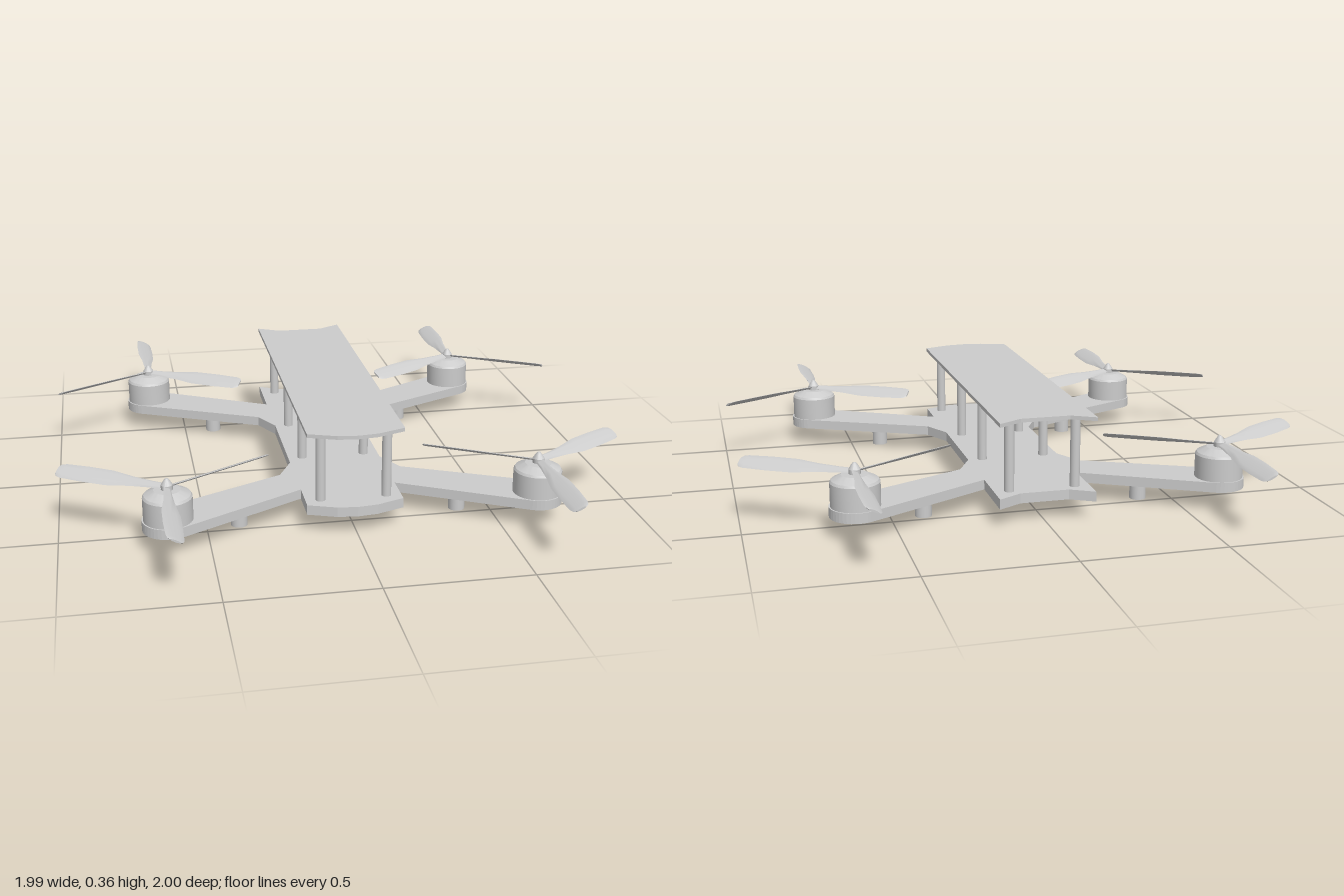
import * as THREE from 'three';
import { toCreasedNormals } from 'three/addons/utils/BufferGeometryUtils.js';

const MOTOR_X = 0.635, MOTOR_Z = 0.59, PAD_R = 0.088;
const HALF_W = 0.167;
const material = new THREE.MeshStandardMaterial({ color: 0xcccccc });

function add(parent, name, geometry, x = 0, y = 0, z = 0) {
  const mesh = new THREE.Mesh(geometry, material);
  mesh.name = name;
  mesh.position.set(x, y, z);
  parent.add(mesh);
  return mesh;
}

// Flat plate from the +x half of its outline (front to back, as [x, z]), mirrored to -x
function plateGeometry(half, thickness) {
  const mirrored = half.filter(([x]) => x > 0).map(([x, z]) => [-x, z]).reverse();
  const shape = new THREE.Shape([...half, ...mirrored].map(([x, z]) => new THREE.Vector2(x, z)));
  const geometry = new THREE.ExtrudeGeometry(shape, { depth: thickness, bevelEnabled: false });
  geometry.rotateX(Math.PI / 2).translate(0, thickness, 0);
  return geometry;
}

// Bowed nose and notched tail shared by both plates
const nose = [[0, 0.612], [0.07, 0.604], [HALF_W, 0.568]];
const tail = [[HALF_W, -0.656], [0.085, -0.61]];

// One arm: leaves the body, rounds the motor pad and returns to the waist
function armOutline() {
  const points = [[HALF_W, 0.435]];
  const steps = 20;
  for (let i = 0; i <= steps; i++) {
    const a = THREE.MathUtils.degToRad(116.6 - (180 * i) / steps);
    points.push([MOTOR_X + PAD_R * Math.cos(a), MOTOR_Z + PAD_R * Math.sin(a)]);
  }
  points.push([0.22, 0.295], [HALF_W, 0.19]);
  return points;
}

// Linear lookup in a short table of [radius, half width]
const chord = [[0.008, 0.013], [0.06, 0.015], [0.13, 0.021], [0.21, 0.033], [0.3, 0.034], [0.385, 0.031], [0.402, 0.026], [0.408, 0.018]];

// Pitched blade along +z: a cylinder flattened row by row
function bladeGeometry(hand) {
  const rows = chord.length - 1;
  const geometry = new THREE.CylinderGeometry(1, 1, 1, 12, rows).rotateX(Math.PI / 2);
  const p = geometry.attributes.position;
  for (let i = 0; i < p.count; i++) {
    const [r, w] = chord[Math.round((p.getZ(i) + 0.5) * rows)];
    p.setXYZ(i, p.getX(i) * w, p.getY(i) * 0.0035, r);
  }
  geometry.rotateZ(hand * 0.45);
  return toCreasedNormals(geometry, 0.6);
}

function lathe(profile, segments) {
  const points = profile.map(([r, y]) => new THREE.Vector2(r, y));
  return toCreasedNormals(new THREE.LatheGeometry(points, segments), 0.4);
}

export function createModel() {
  const model = new THREE.Group();
  model.name = 'quadcopter';

  // Frame plates
  const frontArm = armOutline();
  const backArm = frontArm.map(([x, z]) => [x, -z]).reverse();
  add(model, 'basePlate', plateGeometry([...nose, ...frontArm, ...backArm, ...tail], 0.035), 0, 0.067, 0);
  add(model, 'topPlate', plateGeometry([...nose, ...tail], 0.013), 0, 0.347, 0);

  // Standoffs between the plates
  const standoff = new THREE.CylinderGeometry(0.017, 0.017, 0.247, 16);
  for (const x of [-0.115, 0.115]) {
    for (const z of [0.53, 0.145, -0.19, -0.575]) add(model, 'standoff', standoff, x, 0.2245, z);
  }

  const motor = lathe([[0, 0.1], [0.083, 0.1], [0.083, 0.183], [0.078, 0.191], [0.045, 0.208], [0, 0.21]], 36);
  const spinner = lathe([[0, 0.205], [0.02, 0.205], [0.02, 0.225], [0.012, 0.238], [0.005, 0.247], [0, 0.248]], 16);
  const foot = new THREE.CylinderGeometry(0.029, 0.029, 0.07, 20);

  // Motor, propeller and foot on each arm
  for (const sx of [-1, 1]) {
    for (const sz of [-1, 1]) {
      add(model, 'foot', foot, sx * 0.387, 0.035, sz * 0.46);

      const unit = new THREE.Group();
      unit.name = 'motorUnit';
      unit.position.set(sx * MOTOR_X, 0, sz * MOTOR_Z);
      model.add(unit);
      add(unit, 'motor', motor);
      add(unit, 'spinner', spinner);

      const blade = bladeGeometry(sx * sz);
      for (let i = 0; i < 3; i++) {
        const mesh = add(unit, 'propellerBlade', blade, 0, 0.218, 0);
        mesh.rotation.y = (sz > 0 ? 0 : Math.PI) + (i * 2 * Math.PI) / 3;
      }
    }
  }
  return model;
}
